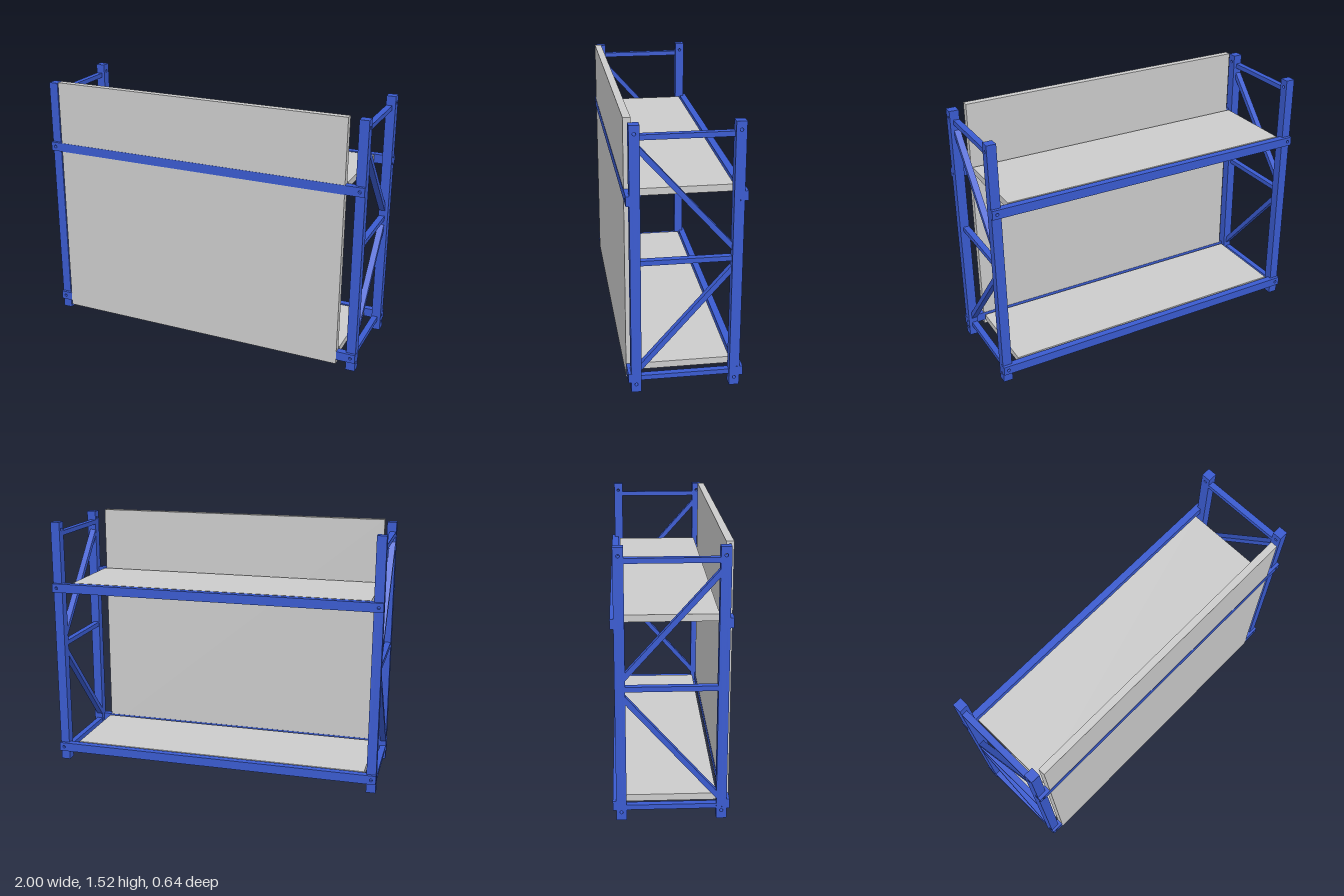
import * as THREE from 'three';

const blue = new THREE.MeshStandardMaterial({ color: 0x3a5bd0 });
const grey = new THREE.MeshStandardMaterial({ color: 0xcccccc });

// Box given by its min and max on each axis
function box(name, mat, [x0, x1], [y0, y1], [z0, z1]) {
  const mesh = new THREE.Mesh(new THREE.BoxGeometry(x1 - x0, y1 - y0, z1 - z0), mat);
  mesh.position.set((x0 + x1) / 2, (y0 + y1) / 2, (z0 + z1) / 2);
  mesh.name = name;
  return mesh;
}

// Flat bar w x h x depth from the origin, with round bolt holes through its depth
function drilledBar(name, w, h, depth, holes) {
  const shape = new THREE.Shape([[0, 0], [w, 0], [w, h], [0, h]].map(p => new THREE.Vector2(...p)));
  for (const [x, y] of holes) {
    shape.holes.push(new THREE.Path().absarc(x, y, 0.009, 0, Math.PI * 2, true));
  }
  const geo = new THREE.ExtrudeGeometry(shape, { depth, bevelEnabled: false, curveSegments: 12 });
  const mesh = new THREE.Mesh(geo, blue);
  mesh.name = name;
  return mesh;
}

// Slanted brace in the side plane from (z0, y0) to (z1, y1)
function diagonal(name, x, z0, y0, z1, y1) {
  const length = Math.hypot(z1 - z0, y1 - y0);
  const mesh = new THREE.Mesh(new THREE.BoxGeometry(0.036, 0.029, length), blue);
  mesh.position.set(x, (y0 + y1) / 2, (z0 + z1) / 2);
  mesh.rotation.x = -Math.atan2(y1 - y0, z1 - z0);
  mesh.name = name;
  return mesh;
}

// Upright end frame: two drilled posts, three rungs and two diagonals
function endFrame(name, x0, braceX) {
  const frame = new THREE.Group();
  frame.name = name;
  const w = 0.056, height = 1.515;
  for (const [post, z] of [['frontPost', 0.299], ['backPost', -0.243]]) {
    const mesh = drilledBar(post, w, height, w, [[w / 2, 0.047], [w / 2, 1.47]]);
    mesh.rotation.y = Math.PI / 2;
    mesh.position.set(x0, 0, z);
    frame.add(mesh);
  }
  for (const y of [0.075, 0.759, 1.445]) {
    frame.add(box('rung', blue, [braceX - 0.018, braceX + 0.018], [y - 0.014, y + 0.014], [-0.245, 0.245]));
  }
  frame.add(diagonal('lowerDiagonal', braceX, 0.253, 0.13, -0.253, 0.707));
  frame.add(diagonal('upperDiagonal', braceX, 0.253, 1.387, -0.253, 0.818));
  return frame;
}

export function createModel() {
  const rack = new THREE.Group();
  rack.name = 'rack';

  // Both end frames share one handedness, so the braces sit off-centre
  rack.add(endFrame('rightFrame', -0.999, -0.98), endFrame('leftFrame', 0.943, 0.962));

  // Long beams and shelves on two levels
  for (const [level, y] of [['lower', 0.06], ['upper', 1.09]]) {
    for (const [side, z] of [['Front', 0.276], ['Back', -0.318]]) {
      const beam = drilledBar(level + side + 'Beam', 2, 0.054, 0.042, [[0.028, 0.027], [1.972, 0.027]]);
      beam.position.set(-1, y, z);
      rack.add(beam);
    }
    rack.add(box(level + 'Shelf', grey, [-0.925, 0.888], [y + 0.014, y + 0.053], [-0.264, 0.25]));
  }

  // Tall panel across the front
  rack.add(box('frontPanel', grey, [-0.925, 0.888], [0.033, 1.525], [0.275, 0.316]));
  // Keep the lower beam behind the panel face
  rack.getObjectByName('lowerFrontBeam').position.z = 0.273;
  return rack;
}
